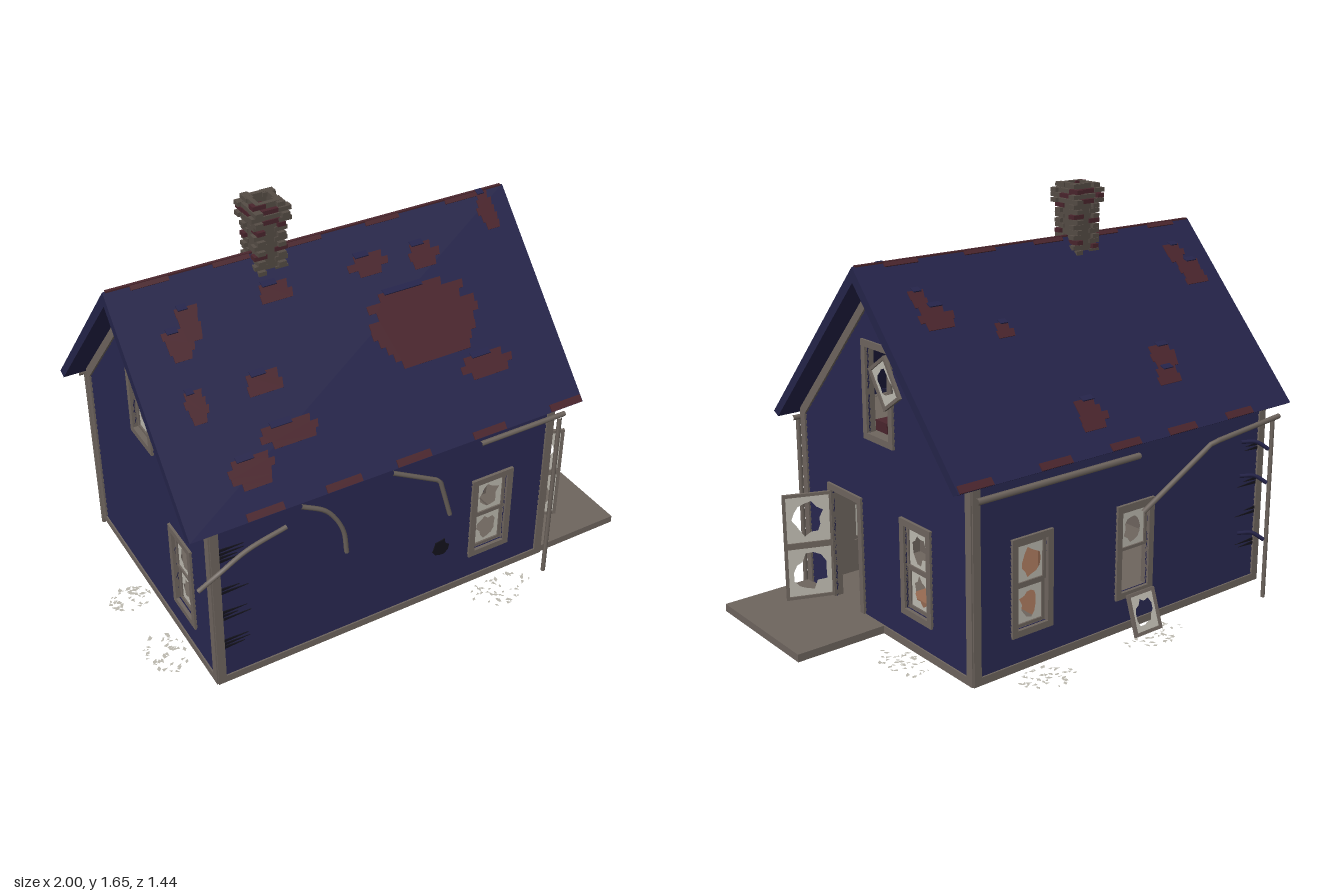
import * as THREE from 'three';
import { mergeGeometries } from 'three/addons/utils/BufferGeometryUtils.js';

const mat = (name, color, side = THREE.FrontSide) => {
  const m = new THREE.MeshStandardMaterial({ color, side });
  m.name = name;
  return m;
};

export function createModel() {
  const navy = mat('navy paint', 0x25244a), maroon = mat('bare maroon', 0x4a252d), trim = mat('weathered trim', 0x6e655e);
  const glass = mat('dusty glass', 0xbdbab0, THREE.DoubleSide), brown = mat('brown wood', 0x966a52);
  const dark = mat('dark gap', 0x14131c), brick = mat('sooty brick', 0x554c45);
  const house = new THREE.Group();
  house.name = 'house';

  let seed = 7;
  const rnd = () => (seed = (seed * 16807) % 2147483647) / 2147483647;
  const add = (parent, name, geo, m, x = 0, y = 0, z = 0) => {
    const mesh = new THREE.Mesh(geo, m);
    mesh.name = name;
    mesh.position.set(x, y, z);
    parent.add(mesh);
    return mesh;
  };
  const box = (parent, name, m, w, h, d, x, y, z) => add(parent, name, new THREE.BoxGeometry(w, h, d), m, x, y, z);
  const group = (parent, name, x = 0, y = 0, z = 0) => {
    const g = new THREE.Group();
    g.name = name;
    g.position.set(x, y, z);
    parent.add(g);
    return g;
  };
  const poly = pts => new THREE.Shape(pts.map(p => new THREE.Vector2(p[0], p[1])));
  const rect = (x, y, w, h) => [[x - w / 2, y - h / 2], [x + w / 2, y - h / 2], [x + w / 2, y + h / 2], [x - w / 2, y + h / 2]];
  const extrude = (pts, holes, depth) => {
    const s = poly(pts);
    s.holes = holes.map(poly);
    return new THREE.ExtrudeGeometry(s, { depth, bevelEnabled: false });
  };
  const tube = (parent, name, m, pts, r, smooth = true) => {
    const v = pts.map(p => new THREE.Vector3(...p));
    const path = new THREE.CurvePath();
    if (smooth) path.add(new THREE.CatmullRomCurve3(v));
    else for (let i = 1; i < v.length; i++) path.add(new THREE.LineCurve3(v[i - 1], v[i]));
    add(parent, name, new THREE.TubeGeometry(path, 16, r, 6), m);
  };

  // Framed sash with a jagged hole knocked through the pane
  const sash = (parent, name, w, h, x, y, z) => {
    const g = group(parent, name, x, y, z), t = 0.012;
    add(g, 'sashFrame', extrude(rect(0, 0, w, h), [rect(0, 0, w - 2 * t, h - 2 * t)], 0.012), trim);
    const hole = [];
    for (let i = 0; i < 14; i++) {
      const a = i / 14 * Math.PI * 2, r = 0.24 + rnd() * 0.17;
      hole.push([Math.cos(a) * r * (w - t), Math.sin(a) * r * (h - t)]);
    }
    const s = poly(rect(0, 0, w - t, h - t));
    s.holes = [poly(hole)];
    add(g, 'brokenPane', new THREE.ShapeGeometry(s), glass, 0, 0, 0.006);
    return g;
  };

  // Wall in its own plane: outer face at z = 0, u across, y up
  const wall = (name, half, gable, openings, x, z, turn) => {
    const g = group(house, name, x, 0, z);
    g.rotation.y = turn;
    const outline = gable ? [[-half, 0.06], [half, 0.06], [half, 0.82], [0, 1.4], [-half, 0.82]] : rect(0, 0.43, half * 2, 0.74);
    add(g, 'wallShell', extrude(outline, openings.map(o => rect(...o)), 0.02), trim, 0, 0, -0.026);
    const boards = [], step = 0.025;
    for (let y = 0.09; y < (gable ? 1.37 : 0.8); y += step) {
      const reach = gable ? Math.min(half, (1.4 - y) / 1.1) : half;
      const cuts = openings.filter(o => y + step > o[1] - o[3] / 2 && y < o[1] + o[3] / 2).sort((a, b) => a[0] - b[0]);
      let from = -reach;
      for (const c of [...cuts, [reach, 0, 0]]) {
        const to = c[0] - c[2] / 2;
        if (to - from > 0.002) {
          const b = new THREE.BoxGeometry(to - from, step + 0.002, 0.005);
          boards.push(b.rotateX(-0.2).translate((from + to) / 2, y + step / 2, -0.001));
        }
        from = c[0] + c[2] / 2;
      }
    }
    add(g, 'clapboards', mergeGeometries(boards), navy);
    box(g, 'baseBoard', trim, half * 2 + 0.02, 0.03, 0.02, 0, 0.075, 0);
    for (const s of [-1, 1]) {
      box(g, 'cornerBoard', trim, 0.032, 0.74, 0.018, s * (half - 0.006), 0.43, 0.001);
      if (gable) add(g, 'rakeBoard', extrude(s > 0 ? [[0, 1.35], [0.54, 0.755], [0.54, 0.81], [0, 1.405]]
        : [[0, 1.405], [-0.54, 0.81], [-0.54, 0.755], [0, 1.35]], [], 0.014), trim, 0, 0, -0.004);
    }
    for (const [u, y, w, h] of openings)
      add(g, 'casing', extrude(rect(u, y, w + 0.05, h + 0.05), [rect(u, y, w, h)], 0.03), trim, 0, 0, -0.018);
    return g;
  };
  const W = 0.135, H = 0.32, LOW = 0.375, UP = 0.985;
  const fill = (g, u, y, upper = true, lower = true) => {
    if (upper) sash(g, 'upperSash', W, H / 2, u, y + H / 4, -0.014);
    if (lower) sash(g, 'lowerSash', W, H / 2, u, y - H / 4, -0.02);
  };
  const front = wall('frontWall', 0.71, false, [[0.453, LOW, W, H]], -0.09, 0.535, 0);
  fill(front, 0.453, LOW);
  const back = wall('backWall', 0.71, false, [[-0.46, LOW, W, H], [0.03, LOW, W, H]], -0.09, -0.535, Math.PI);
  fill(back, -0.46, LOW);
  fill(back, 0.03, LOW, true, false);
  const right = wall('doorGable', 0.53, true, [[-0.245, 0.31, 0.18, 0.44], [0.2125, LOW, W, H], [0, UP, W, H]], 0.625, 0, Math.PI / 2);
  fill(right, 0.2125, LOW);
  const left = wall('rearGable', 0.53, true, [[0.28, LOW, W, H], [0, UP, W, H]], -0.805, 0, -Math.PI / 2);
  fill(left, 0.28, LOW);
  fill(left, 0, UP);
  // Fallen sashes
  sash(right, 'hangingSash', 0.12, 0.165, 0.065, 1.04, 0.012).rotation.z = 0.6;
  sash(back, 'leaningSash', W, H / 2, 0.03, 0.14, 0.06).rotation.x = -0.33;

  // Open door, two broken panes
  const door = group(house, 'openDoor', 0.632, 0.315, 0.335);
  door.rotation.y = -0.37;
  sash(door, 'upperDoorPanel', 0.19, 0.21, 0.095, 0.105, 0);
  sash(door, 'lowerDoorPanel', 0.19, 0.22, 0.095, -0.11, 0);

  // Ground slab, porch and interior
  box(house, 'floorSlab', trim, 1.42, 0.02, 1.06, -0.09, 0.07, 0);
  box(house, 'porch', trim, 0.37, 0.03, 0.54, 0.815, 0.075, 0.27);
  box(house, 'atticFloor', trim, 1.38, 0.015, 1.02, -0.09, 0.79, 0);
  box(house, 'partition', trim, 0.02, 0.7, 1.02, 0.1, 0.43, 0);
  box(house, 'atticPartition', trim, 0.02, 0.38, 0.4, 0.1, 0.98, 0);
  box(house, 'innerDoor', brown, 0.01, 0.38, 0.17, 0.116, 0.28, 0.27);
  box(house, 'innerDoorPane', glass, 0.004, 0.14, 0.08, 0.124, 0.35, 0.285);
  box(house, 'cabinet', brown, 0.06, 0.42, 0.24, 0.145, 0.32, -0.22);
  box(house, 'shelf', brown, 0.08, 0.05, 0.16, 0.57, 0.235, -0.2125);
  box(house, 'atticTrunk', maroon, 0.06, 0.04, 0.07, 0.57, 0.85, 0.03);

  // Roof: each slope is a slab plus plates where shingles are missing
  const tilt = Math.atan2(0.65, 0.59), sinT = Math.sin(tilt);
  const frontPatches = [[-0.65, 1.315, 0.09, 0.09], [-0.71, 1.27, 0.1, 0.08], [-0.315, 1.335, 0.14, 0.05], [0.06, 1.335, 0.14, 0.06],
    [0.29, 1.32, 0.13, 0.07], [0.615, 1.39, 0.07, 0.11], [-0.725, 1.11, 0.07, 0.085], [-0.465, 1.12, 0.14, 0.055],
    [0.2, 1.145, 0.4, 0.21], [-0.44, 0.98, 0.2, 0.06], [-0.61, 0.915, 0.16, 0.08], [0.39, 0.985, 0.2, 0.065]];
  const backPatches = [[-0.4, 1.03, 0.13, 0.07], [-0.37, 0.97, 0.12, 0.05], [0.06, 0.915, 0.13, 0.09], [0.245, 1.2, 0.08, 0.045],
    [-0.77, 1.27, 0.13, 0.08], [-0.73, 1.34, 0.09, 0.06], [0.49, 1.27, 0.13, 0.07], [0.53, 1.33, 0.08, 0.05]];
  for (const s of [1, -1]) {
    const side = group(house, s > 0 ? 'frontSlope' : 'backSlope');
    const profile = [[0, 1.45], [0, 1.395], [-0.56, 0.785], [-0.59, 0.8]];
    const slab = add(side, 'roofSlab', extrude(profile, [], 1.62), navy, s > 0 ? -0.9 : 0.72);
    slab.rotation.y = s * Math.PI / 2;
    const face = group(side, 'shingleFace', 0, 1.45, 0);
    face.rotation.order = 'YXZ';
    face.rotation.set(tilt - Math.PI / 2, s > 0 ? 0 : Math.PI, 0);
    for (const [x, y, w, h] of s > 0 ? frontPatches : backPatches) {
      const len = h / sinT, rows = Math.max(2, Math.round(len / 0.03)), l = [], r = [];
      for (let i = 0; i < rows; i++) {
        const ease = 0.5 - 0.12 * Math.abs(2 * i / (rows - 1) - 1);
        const a = -w * (ease + (rnd() - 0.5) * 0.2), b = w * (ease + (rnd() - 0.5) * 0.2);
        for (const k of [i, i + 1]) {
          l.unshift([a, -len / 2 + k * len / rows]);
          r.push([b + (k - i) * 0.008, -len / 2 + k * len / rows]);
        }
      }
      add(face, 'missingShingles', extrude([...r, ...l], [], 0.003), maroon, s * x, (y - 1.45) / sinT, 0);
      const curl = box(face, 'curledShingle', navy, w * 0.4, 0.025, 0.004, s * (x - w * 0.1), (y - 1.45) / sinT + len / 2, 0.008);
      curl.rotation.x = -0.45;
    }
    for (const x of [-0.615, -0.31, -0.025, 0.3, 0.645]) {
      box(face, 'eavePatch', maroon, 0.14, 0.028, 0.008, s * x, -0.863, 0.001);
      box(face, 'ridgePatch', maroon, 0.14, 0.02, 0.008, s * (x - 0.12), -0.01, 0.001);
    }
  }
  box(house, 'ridgeStrip', maroon, 1.6, 0.006, 0.012, -0.09, 1.45, 0);

  // Chimney: hollow core with staggered corner bricks and a wider crown
  const chimney = group(house, 'chimney', -0.297, 0, 0);
  const core = add(chimney, 'core', extrude(rect(0, 0, 0.1, 0.1), [rect(0, 0, 0.065, 0.065)], 0.27), brick, 0, 1.38, 0);
  core.rotation.x = -Math.PI / 2;
  box(chimney, 'flueBottom', trim, 0.07, 0.01, 0.07, 0, 1.6, 0);
  for (let i = 0; i < 14; i++) {
    const y = 1.39 + i * 0.0193, out = i > 9 && i < 13 ? 0.052 : 0.04;
    for (const sx of [-1, 1]) for (const sz of [-1, 1]) {
      const long = (i + (sx * sz > 0 ? 1 : 0)) % 2;
      box(chimney, 'brick', (i * 3 + sx + sz * 2) % 5 === 0 ? maroon : brick, long ? 0.05 : 0.03, 0.016, long ? 0.03 : 0.05,
        sx * out, y, sz * out);
    }
    if (i > 9 && i < 13) for (const s of [-1, 1]) {
      box(chimney, 'crownBrick', i % 2 ? brick : maroon, 0.07, 0.016, 0.02, 0, y, s * 0.055);
      box(chimney, 'crownBrick', i % 2 ? maroon : brick, 0.02, 0.016, 0.07, s * 0.055, y, 0);
    }
  }

  // Gutters, downspouts and the pieces hanging loose
  tube(house, 'frontGutter', trim, [[0.27, 0.76, 0.575], [0.65, 0.76, 0.575]], 0.01, false);
  tube(house, 'frontDownspout', trim, [[0.62, 0.76, 0.585], [0.62, 0, 0.585]], 0.009, false);
  tube(house, 'loosePipe', trim, [[-0.47, 0.76, 0.56], [-0.37, 0.7, 0.565], [-0.31, 0.6, 0.57], [-0.29, 0.48, 0.565]], 0.009);
  tube(house, 'loosePipe', trim, [[-0.1, 0.76, 0.56], [0.1, 0.655, 0.57], [0.155, 0.47, 0.565]], 0.009, false);
  tube(house, 'backGutter', trim, [[0.65, 0.76, -0.595], [-0.08, 0.76, -0.595]], 0.012, false);
  tube(house, 'brokenGutter', trim, [[-0.1, 0.54, -0.6], [-0.45, 0.73, -0.6], [-0.83, 0.76, -0.595]], 0.01, false);
  tube(house, 'backDownspout', trim, [[-0.8, 0.76, -0.59], [-0.8, 0, -0.59]], 0.009, false);
  tube(house, 'peeledBoard', trim, [[-0.87, 0.555, 0.56], [-0.8, 0.61, 0.575], [-0.68, 0.655, 0.56], [-0.52, 0.68, 0.545]], 0.009);

  // Cracked siding, splinters and a punched hole
  for (const [y, n] of [[0.66, 4], [0.5, 2], [0.385, 3], [0.25, 3]]) for (let i = 0; i < n; i++) {
    const len = 0.06 + rnd() * 0.06, yy = y + (i - n / 2) * 0.016;
    add(front, 'crack', extrude([[0, -0.006], [len, 0], [0, 0.006]], [], 0.004), dark, -0.69, yy, 0.002);
    if (i < 2) add(back, 'crack', extrude([[0, -0.006], [0, 0.006], [-len, 0]], [], 0.004), dark, 0.69, yy, 0.002);
  }
  for (const y of [0.64, 0.5, 0.26])
    tube(house, 'peeledSliver', navy, [[-0.68, y + 0.03, -0.54], [-0.75, y + 0.02, -0.56], [-0.79, y - 0.01, -0.585]], 0.008);
  const dent = [];
  for (let i = 0; i < 11; i++) {
    const a = i / 11 * Math.PI * 2, r = 0.022 + rnd() * 0.02;
    dent.push([Math.cos(a) * r, Math.sin(a) * r]);
  }
  add(front, 'punchedHole', extrude(dent, [], 0.004), dark, 0.23, 0.295, 0.002);

  // Glass shards scattered under the windows
  const shards = [];
  for (const [cx, cz, rx, rz] of [[0.36, 0.64, 0.14, 0.08], [0.38, -0.635, 0.11, 0.08], [-0.13, -0.635, 0.14, 0.08],
    [0.71, -0.22, 0.07, 0.14], [-0.91, -0.04, 0.08, 0.07], [-0.91, 0.3, 0.08, 0.11]])
    for (let i = 0; i < 42; i++) {
      const a = rnd() * 6.283, r = Math.sqrt(rnd()), size = 0.007 + rnd() * 0.009;
      const g = new THREE.CircleGeometry(size, 3 + (i % 2)).scale(1, 0.55, 1).rotateX(-Math.PI / 2).rotateY(rnd() * 6.283);
      shards.push(g.translate(cx + Math.cos(a) * r * rx, 0.058, cz + Math.sin(a) * r * rz));
    }
  add(house, 'glassShards', mergeGeometries(shards), glass);
  return house;
}
